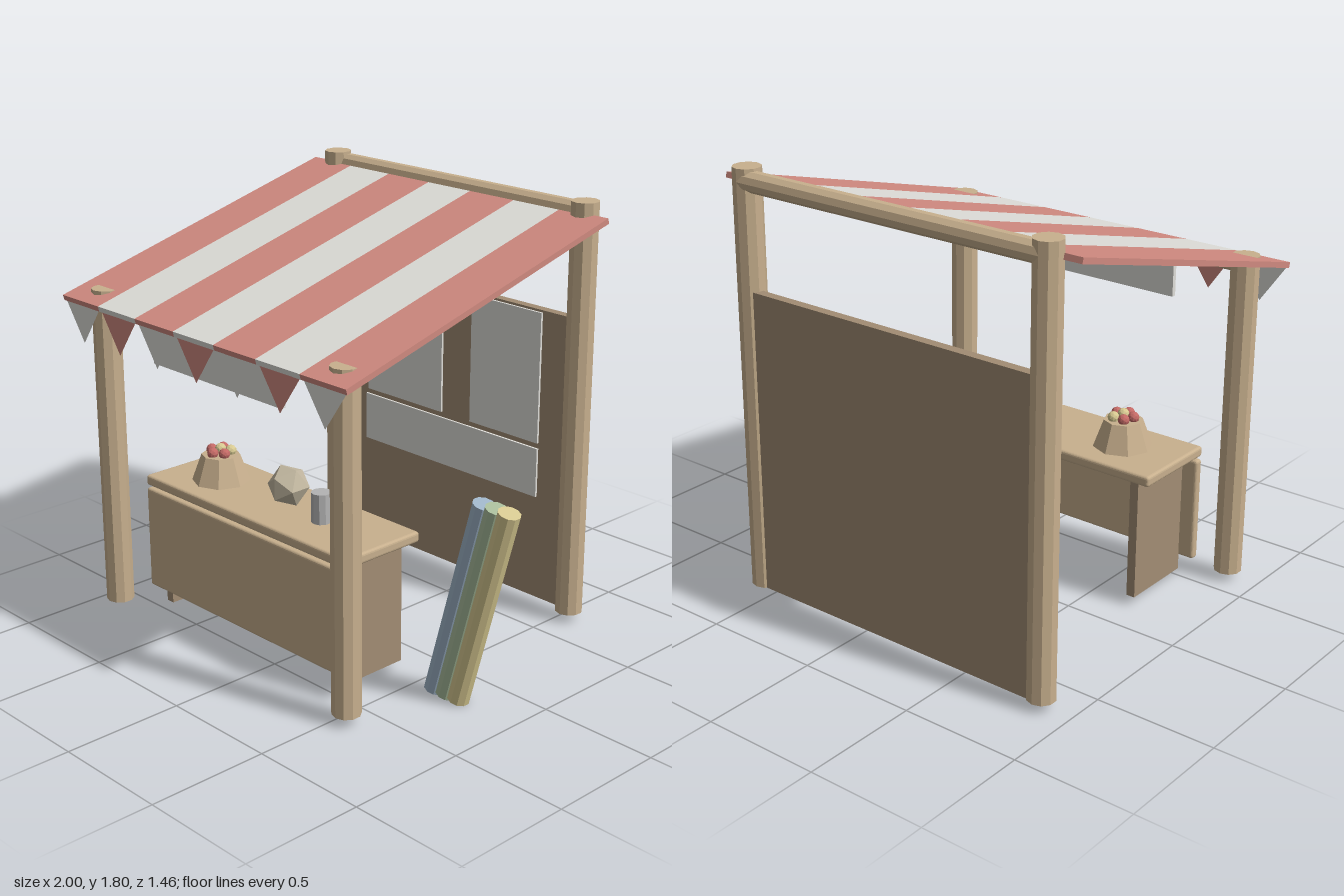
import * as THREE from 'three';
import { RoundedBoxGeometry } from 'three/addons/geometries/RoundedBoxGeometry.js';

const COLORS = {
  wood: 0xc8b08e, board: 0xa28d74, red: 0xd08a80, white: 0xdfded9, metal: 0xb4b4b4,
  blue: 0x9fb4c8, green: 0xa9bd9c, yellow: 0xd8ca92, stone: 0xc2b7a0, fruitRed: 0xc46a66,
};
const materials = {};
for (const key in COLORS) {
  materials[key] = new THREE.MeshStandardMaterial({
    color: COLORS[key], flatShading: true, side: THREE.DoubleSide,
  });
}

function add(parent, name, geometry, color, x = 0, y = 0, z = 0) {
  const mesh = new THREE.Mesh(geometry, materials[color]);
  mesh.name = name;
  mesh.position.set(x, y, z);
  parent.add(mesh);
  return mesh;
}

// Box given by its limits on each axis, optionally with rounded edges
function addBox(parent, name, color, [x0, x1], [y0, y1], [z0, z1], round = 0) {
  const size = [x1 - x0, y1 - y0, z1 - z0];
  const geometry = round ? new RoundedBoxGeometry(...size, 2, round) : new THREE.BoxGeometry(...size);
  return add(parent, name, geometry, color, (x0 + x1) / 2, (y0 + y1) / 2, (z0 + z1) / 2);
}

function group(parent, name) {
  const g = new THREE.Group();
  g.name = name;
  parent.add(g);
  return g;
}

export function createModel() {
  const model = new THREE.Group();
  model.name = 'marketStall';
  const left = 0.545, right = -0.868, middle = (left + right) / 2;

  // Four posts joined by a front and a back beam
  const frame = group(model, 'frame');
  const rows = [
    { name: 'front', z: 0.617, top: 1.413, beamY: 1.37, beamZ: 0.625, beamR: 0.035 },
    { name: 'back', z: -0.672, top: 1.8, beamY: 1.748, beamZ: -0.688, beamR: 0.043 },
  ];
  for (const r of rows) {
    for (const x of [left, right]) {
      add(frame, r.name + 'Post', new THREE.CylinderGeometry(0.058, 0.058, r.top - 0.04, 10),
        'wood', x, (r.top + 0.04) / 2, r.z);
    }
    add(frame, r.name + 'Beam', new THREE.CylinderGeometry(r.beamR, r.beamR, left - right, 10),
      'wood', middle, r.beamY, r.beamZ).rotation.z = Math.PI / 2;
  }

  // Back wall with pale sheets on its inner face
  const wall = group(model, 'backWall');
  addBox(wall, 'wallBoard', 'board', [right, left], [0.04, 1.315], [-0.71, -0.67]);
  addBox(wall, 'upperSheet', 'white', [-0.66, -0.205], [0.74, 1.305], [-0.67, -0.66]);
  addBox(wall, 'upperSheet', 'white', [-0.035, 0.35], [0.74, 1.305], [-0.67, -0.66]);
  addBox(wall, 'lowerSheet', 'white', [-0.675, 0.35], [0.5, 0.715], [-0.67, -0.66]);

  // Sloping striped canopy with a row of pennants along its front edge
  const canopy = group(model, 'canopy');
  const stripe = 1.672 / 7;
  const slope = group(canopy, 'canopyStripes');
  slope.position.set(0, 1.555, 0.035);
  slope.rotation.x = Math.PI / 12;
  const pennant = new THREE.Shape([
    new THREE.Vector2(-0.115, 0), new THREE.Vector2(0, -0.165), new THREE.Vector2(0.115, 0),
  ]);
  for (let i = 0; i < 7; i++) {
    const x = -1 + (i + 0.5) * stripe;
    add(slope, 'stripe', new THREE.BoxGeometry(stripe, 0.023, 1.44), i % 2 ? 'white' : 'red', x);
    add(canopy, 'pennant', new THREE.ShapeGeometry(pennant), i % 2 ? 'red' : 'white', x, 1.365, 0.722);
  }

  // Blank sign hung below the front beam
  const sign = group(model, 'hangingSign');
  addBox(sign, 'signBoard', 'white', [-0.545, 0.215], [1.17, 1.32], [0.61, 0.63]);
  for (const x of [-0.47, 0.14]) {
    addBox(sign, 'signHanger', 'board', [x - 0.008, x + 0.008], [1.31, 1.36], [0.612, 0.628]);
  }

  // Counter: rounded top and front, two plain side boards
  const counter = group(model, 'counter');
  addBox(counter, 'counterTop', 'wood', [-0.775, 0.443], [0.56, 0.605], [0.129, 0.524], 0.012);
  addBox(counter, 'counterFront', 'wood', [-0.775, 0.443], [0.103, 0.548], [0.486, 0.524], 0.012);
  for (const x of [-0.688, 0.362]) {
    addBox(counter, 'counterSide', 'board', [x - 0.019, x + 0.019], [0.04, 0.565], [0.165, 0.488]);
  }

  // Goods on the counter
  const goods = group(model, 'goods');
  add(goods, 'basket', new THREE.CylinderGeometry(0.08, 0.122, 0.115, 8), 'wood', -0.515, 0.662, 0.33);
  for (let i = 0; i < 6; i++) {
    const a = (i / 5) * Math.PI * 2, r = i < 5 ? 0.042 : 0;
    add(goods, 'fruit', new THREE.IcosahedronGeometry(0.024, 1), i % 3 === 2 ? 'yellow' : 'fruitRed',
      -0.515 + r * Math.sin(a), i < 5 ? 0.732 : 0.742, 0.33 + r * Math.cos(a));
  }
  add(goods, 'facetedStone', new THREE.IcosahedronGeometry(0.088, 0), 'stone', -0.115, 0.688, 0.31);
  for (const x of [0.105, 0.235]) {
    add(goods, 'cup', new THREE.CylinderGeometry(0.041, 0.041, 0.125, 10), 'metal', x, 0.667, 0.335);
  }

  // Three rolls of cloth leaning beside the left front post
  const rolls = group(model, 'clothRolls');
  ['blue', 'green', 'yellow'].forEach((color, i) => {
    add(rolls, 'clothRoll', new THREE.CylinderGeometry(0.045, 0.045, 0.873, 10), color,
      0.717 + i * 0.062, 0.433, 0.195).rotation.z = -0.27;
  });

  return model;
}
